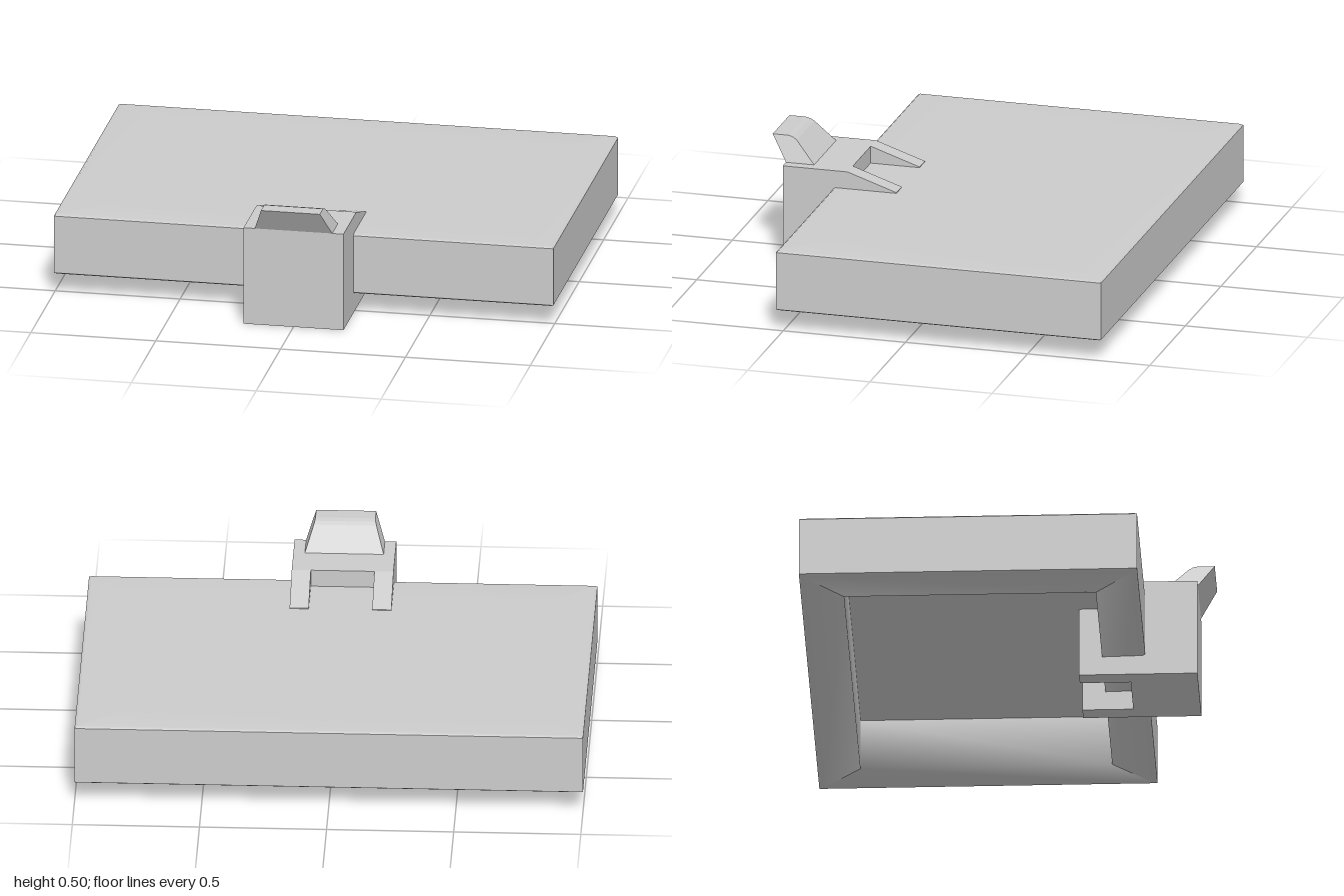
import * as THREE from 'three';
import { mergeGeometries } from 'three/addons/utils/BufferGeometryUtils.js';

const grey = new THREE.MeshStandardMaterial({ color: 0xcccccc });

function addMesh(parent, name, geometry) {
  const mesh = new THREE.Mesh(geometry, grey);
  mesh.name = name;
  parent.add(mesh);
  return mesh;
}

// Side profile of [z, y] points, extruded along x and centred on x = 0
function extrudeAcross(points, width) {
  const shape = new THREE.Shape(points.map(([z, y]) => new THREE.Vector2(z, y)));
  return new THREE.ExtrudeGeometry(shape, { depth: width, bevelEnabled: false })
    .translate(0, 0, -width / 2)
    .rotateY(-Math.PI / 2);
}

// Corners of the slab, counter-clockwise from above
const corners = [[1, 1], [1, -1], [-1, -1], [-1, 1]];
const corner = (k, [inset, y]) => {
  const [sx, sz] = corners[k % 4];
  return [sx * (1 - inset), y, -0.135 + sz * (0.665 - inset * 0.85)];
};

function surface(positions, index) {
  const g = new THREE.BufferGeometry();
  g.setAttribute('position', new THREE.Float32BufferAttribute(positions.flat(), 3));
  g.setIndex(index);
  g.computeVertexNormals();
  return g;
}

// One side of the slab: an [inset, y] profile swept between two corners
function sideStrip(profile, k) {
  const positions = [], index = [];
  profile.forEach((p, i) => {
    positions.push(corner(k, p), corner(k + 1, p));
    if (i) {
      const a = 2 * i - 2;
      index.push(a, a + 2, a + 3, a, a + 3, a + 1);
    }
  });
  return surface(positions, index);
}

function cap(p, index) {
  return surface([0, 1, 2, 3].map((k) => corner(k, p)), index);
}

export function createModel() {
  const model = new THREE.Group();
  model.name = 'clippedTray';

  // Slab: soft top edge, flat outer wall, wide rim rolling into the hollow underside
  const profiles = [
    [[0.2, 0.33], [0.012, 0.33], [0, 0.322]],
    [[0, 0.322], [0, 0.086]],
    [[0, 0.086], [0.012, 0.08], [0.2, 0.077], [0.2, 0.285]],
  ];
  const parts = [
    cap([0.2, 0.33], [0, 1, 2, 0, 2, 3]),
    cap([0.2, 0.285], [0, 2, 1, 0, 3, 2]),
  ];
  for (const profile of profiles) {
    for (let k = 0; k < 4; k++) parts.push(sideStrip(profile, k));
  }
  addMesh(model, 'slab', mergeGeometries(parts));

  // Clip: central block with two prongs gripping the slab edge
  const clip = new THREE.Group();
  clip.name = 'clip';
  model.add(clip);
  addMesh(clip, 'clipBlock', extrudeAcross([[0.47, 0], [0.735, 0], [0.735, 0.4], [0.47, 0.4]], 0.25));
  for (const side of [-1, 1]) {
    const prong = extrudeAcross([[0.27, 0], [0.735, 0], [0.735, 0.4], [0.47, 0.4], [0.27, 0.333]], 0.075);
    addMesh(clip, side > 0 ? 'leftProng' : 'rightProng', prong).position.x = side * 0.1625;
  }

  // Thumb tab leaning forward, narrowing towards its top
  const tab = extrudeAcross(
    [[0.62, 0.4], [0.735, 0.4], [0.8, 0.5], [0.735, 0.5], [0.715, 0.495], [0.7, 0.485]], 0.31);
  const pos = tab.attributes.position;
  for (let i = 0; i < pos.count; i++) {
    pos.setX(i, pos.getX(i) * (1 - (pos.getY(i) - 0.4) * 2.4));
  }
  tab.computeVertexNormals();
  addMesh(clip, 'thumbTab', tab);

  return model;
}
